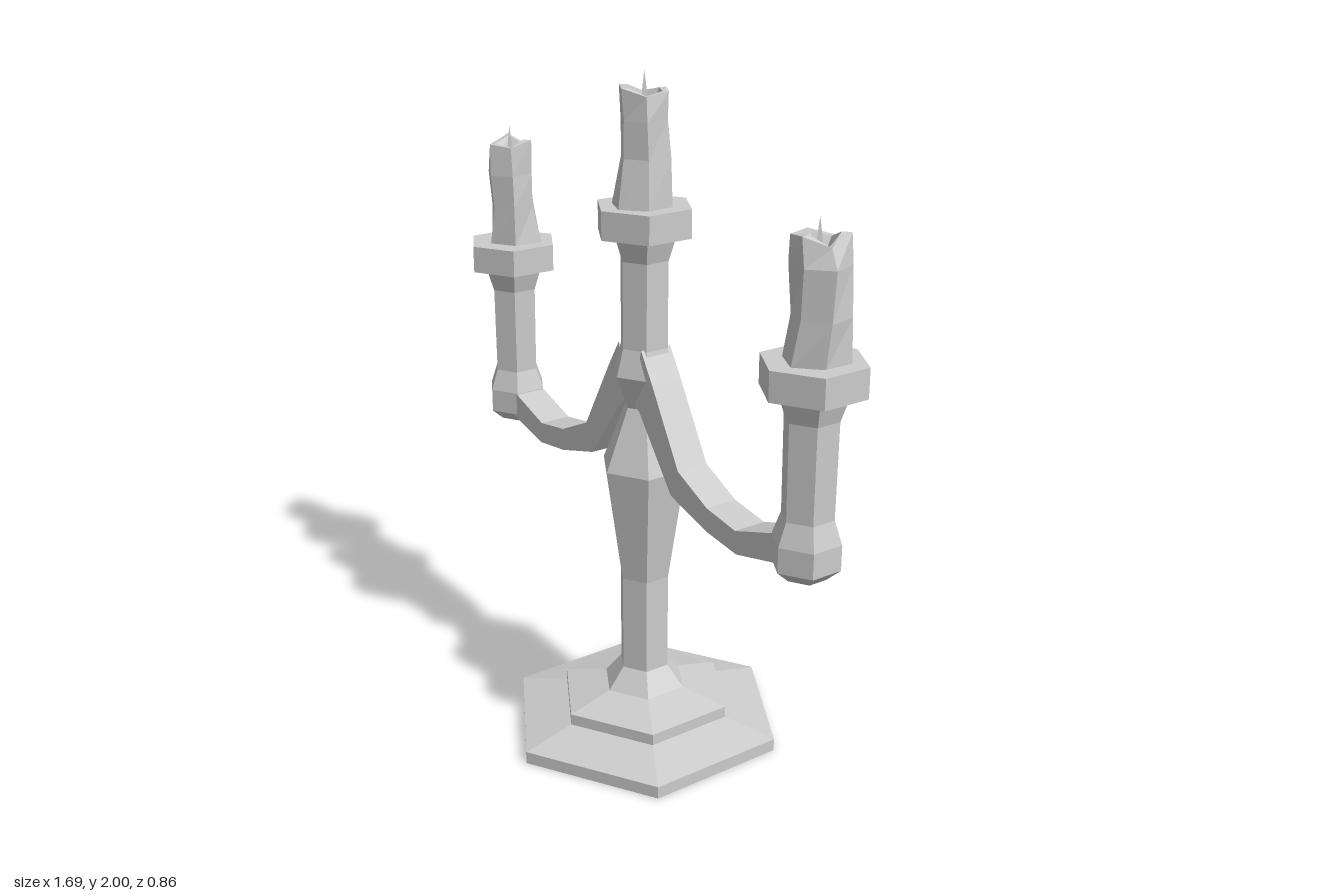
import * as THREE from 'three';

const material = new THREE.MeshStandardMaterial({ color: 0xcccccc, flatShading: true });

function add(parent, geometry, name) {
  const mesh = new THREE.Mesh(geometry, material);
  mesh.name = name;
  parent.add(mesh);
  return mesh;
}

// six-sided turned part from [radius, y] pairs, bottom to top
function turned(profile) {
  return new THREE.LatheGeometry(profile.map(([r, y]) => new THREE.Vector2(r, y)), 6);
}

// skin between successive loops of points
function loft(loops) {
  const n = loops[0].length;
  const index = [];
  for (let i = 0; i < loops.length - 1; i++) {
    for (let j = 0; j < n; j++) {
      const a = i * n + j, b = i * n + (j + 1) % n;
      index.push(a, b, b + n, a, b + n, a + n);
    }
  }
  const geometry = new THREE.BufferGeometry();
  geometry.setAttribute('position', new THREE.Float32BufferAttribute(loops.flat(2), 3));
  geometry.setIndex(index);
  geometry.computeVertexNormals();
  return geometry;
}

// cup and drip tray on top of a stem, with the tray's underside at y
function trayProfile(y) {
  return [[0.074, y - 0.07], [0.097, y], [0.143, y], [0.143, y + 0.082], [0, y + 0.082]];
}

// uneven wax candle with a hollow top and a wick; rings are [y, radius, x, z, twist]
function candle(rings, seed, wickTop) {
  const group = new THREE.Group();
  group.name = 'candle';
  const wobble = (i, j) => Math.sin(seed * 7.3 + i * 2.1 + j * 2.7);
  const loops = rings.map(([y, r, x, z, twist], i) => {
    const loop = [];
    for (let j = 0; j < 6; j++) {
      const a = j * Math.PI / 3 + twist;
      const radius = r * (1 + 0.07 * wobble(i, j));
      const rim = i >= 3 && i <= 4 ? 0.014 * wobble(3, j) : 0;
      loop.push([x + radius * Math.sin(a), y + rim, z + radius * Math.cos(a)]);
    }
    return loop;
  });
  add(group, loft(loops), 'wax');
  const height = 0.1;
  const wick = add(group, new THREE.ConeGeometry(0.014, height, 3), 'wick');
  wick.position.y = wickTop - height / 2;
  return group;
}

// outer rings plus the melted bowl shared by every candle
function candleRings(outer) {
  const [y, r, x, z, t] = outer[outer.length - 1];
  return [...outer,
    [y, r * 0.72, x * 0.7, z * 0.7, t],
    [y - 0.04, r * 0.45, 0, 0, t],
    [y - 0.045, 0, 0, 0, t]];
}

export function createModel() {
  const model = new THREE.Group();
  model.name = 'candelabrum';

  // stepped foot
  add(model, turned([
    [0, 0], [0.43, 0], [0.43, 0.038], [0.27, 0.075], [0.27, 0.11],
    [0.13, 0.145], [0.078, 0.21],
  ]), 'foot');

  // baluster, collar and central holder
  add(model, turned([
    [0.078, 0.21], [0.078, 0.51], [0.132, 0.865], [0.058, 1.05],
    [0.095, 1.15], [0.073, 1.23], ...trayProfile(1.553),
  ]), 'centralStem');
  add(model, candle(candleRings([
    [1.63, 0.085, 0.004, 0.008, 0.12],
    [1.77, 0.073, 0.005, 0.002, 0.06],
    [1.87, 0.073, 0.002, 0, 0],
    [1.945, 0.071, 0, 0, 0],
  ]), 1, 2).children[0].geometry, 'centralWax');
  const centralWick = add(model, new THREE.ConeGeometry(0.014, 0.1, 3), 'centralWick');
  centralWick.position.y = 1.95;

  // curved arm sections as [lower x, lower y, upper x, upper y]
  const sections = [
    [0.01, 1.07, 0.055, 1.235], [0.045, 1.05, 0.11, 1.145], [0.2, 0.845, 0.232, 0.93],
    [0.365, 0.797, 0.365, 0.867], [0.497, 0.78, 0.49, 0.847], [0.68, 0.825, 0.66, 0.905],
  ];
  const armGeometry = loft(sections.map(([lx, ly, ux, uy]) => [
    [ux, uy, -0.05], [ux, uy, 0.05], [lx, ly, 0.05], [lx, ly, -0.05],
  ]));
  const holderGeometry = turned([
    [0, 0.795], [0.058, 0.795], [0.095, 0.828], [0.095, 0.9], [0.072, 0.965],
    ...trayProfile(1.302),
  ]);

  // side candles lean and twist differently
  const sideCandles = {
    left: [
      [1.38, 0.085, 0.003, -0.003, 0.1], [1.5, 0.079, 0.012, -0.004, 0.15],
      [1.63, 0.078, 0.012, -0.003, 0.25], [1.695, 0.071, 0.003, 0, 0.25],
    ],
    right: [
      [1.38, 0.088, -0.005, -0.012, 0], [1.5, 0.073, 0, -0.004, 0.05],
      [1.6, 0.071, 0, 0, 0.08], [1.695, 0.071, -0.002, 0, 0.05],
    ],
  };

  for (const [side, sign] of [['left', 1], ['right', -1]]) {
    const arm = add(model, armGeometry, side + 'Arm');
    arm.rotation.y = sign > 0 ? 0 : Math.PI;
    const holder = new THREE.Group();
    holder.name = side + 'Holder';
    holder.position.x = 0.72 * sign;
    add(holder, holderGeometry, 'socket');
    holder.add(candle(candleRings(sideCandles[side]), sign > 0 ? 2 : 3, 1.745));
    model.add(holder);
  }

  return model;
}
